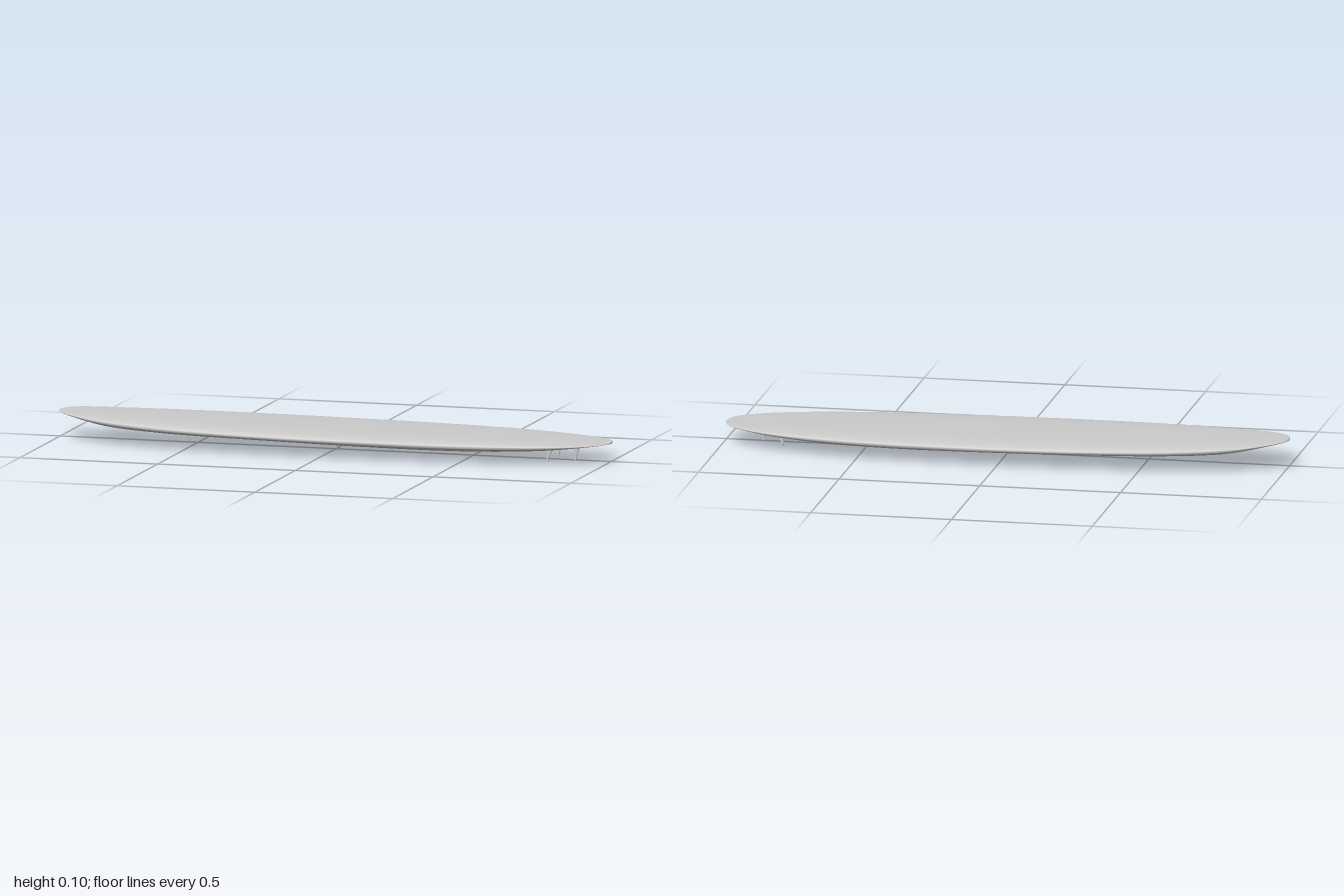
import * as THREE from 'three';

const HALF_WIDTH = 0.235;

// Heights along the board, evenly spaced from nose (-x) to tail (+x)
const profile = (ys) => new THREE.SplineCurve(ys.map((y, i) => new THREE.Vector2(-1 + (2 * i) / (ys.length - 1), y)));
const deck = profile([0.097, 0.0945, 0.0925, 0.09, 0.088, 0.086, 0.084, 0.082, 0.079, 0.074, 0.067]);
const rail = profile([0.095, 0.08, 0.072, 0.068, 0.065, 0.063, 0.062, 0.061, 0.061, 0.062, 0.065]);
const hull = profile([0.092, 0.057, 0.047, 0.044, 0.042, 0.038, 0.034, 0.032, 0.034, 0.044, 0.063]);

// Plan outline: a rounded nose and a slightly fuller tail
function halfWidth(x) {
  const n = x < 0 ? 2.25 : 2.4;
  return HALF_WIDTH * Math.pow(Math.max(0, 1 - Math.pow(Math.abs(x), n)), 1 / n);
}

// Squared-off oval sections lofted from nose to tail
function boardGeometry(stations = 96, sides = 64) {
  const soft = (v) => Math.sign(v) * Math.pow(Math.abs(v), 2 / 2.6);
  const positions = [];
  const index = [];
  for (let i = 0; i <= stations; i++) {
    const x = -Math.cos((Math.PI * i) / stations);
    const t = (x + 1) / 2;
    const w = halfWidth(x);
    const mid = rail.getPoint(t).y;
    const up = deck.getPoint(t).y - mid;
    const down = mid - hull.getPoint(t).y;
    for (let j = 0; j < sides; j++) {
      const a = (2 * Math.PI * j) / sides;
      const s = soft(Math.sin(a));
      positions.push(x, mid + s * (s > 0 ? up : down), w * soft(Math.cos(a)));
      if (i === stations) continue;
      const k = (j + 1) % sides;
      const p = i * sides;
      const q = p + sides;
      index.push(p + j, q + j, p + k, p + k, q + j, q + k);
    }
  }
  const geometry = new THREE.BufferGeometry();
  geometry.setAttribute('position', new THREE.Float32BufferAttribute(positions, 3));
  geometry.setIndex(index);
  geometry.computeVertexNormals();
  return geometry;
}

// Small fin with a curved trailing edge, thinner towards its tip
function finGeometry(height) {
  const shape = new THREE.Shape();
  shape.moveTo(-0.004, height);
  shape.lineTo(0.001, 0);
  shape.lineTo(0.005, 0);
  shape.quadraticCurveTo(0.009, height * 0.55, 0.027, height);
  shape.closePath();
  const geometry = new THREE.ExtrudeGeometry(shape, { depth: 1, bevelEnabled: false, curveSegments: 8 });
  const pos = geometry.attributes.position;
  for (let i = 0; i < pos.count; i++) {
    const thickness = 0.005 + 0.004 * (pos.getY(i) / height);
    pos.setZ(i, (pos.getZ(i) - 0.5) * thickness);
  }
  geometry.computeVertexNormals();
  return geometry;
}

export function createModel() {
  const model = new THREE.Group();
  model.name = 'surfboard';
  const material = new THREE.MeshStandardMaterial({ color: 0xcccccc });
  const add = (name, geometry, x = 0, z = 0) => {
    const mesh = new THREE.Mesh(geometry, material);
    mesh.name = name;
    mesh.position.set(x, 0, z);
    model.add(mesh);
  };

  add('board', boardGeometry());

  // Pair of side fins with a centre fin behind them
  const sideFin = finGeometry(0.05);
  add('leftFin', sideFin, 0.785, 0.066);
  add('rightFin', sideFin, 0.785, -0.066);
  add('centreFin', finGeometry(0.056), 0.867, 0);

  return model;
}
